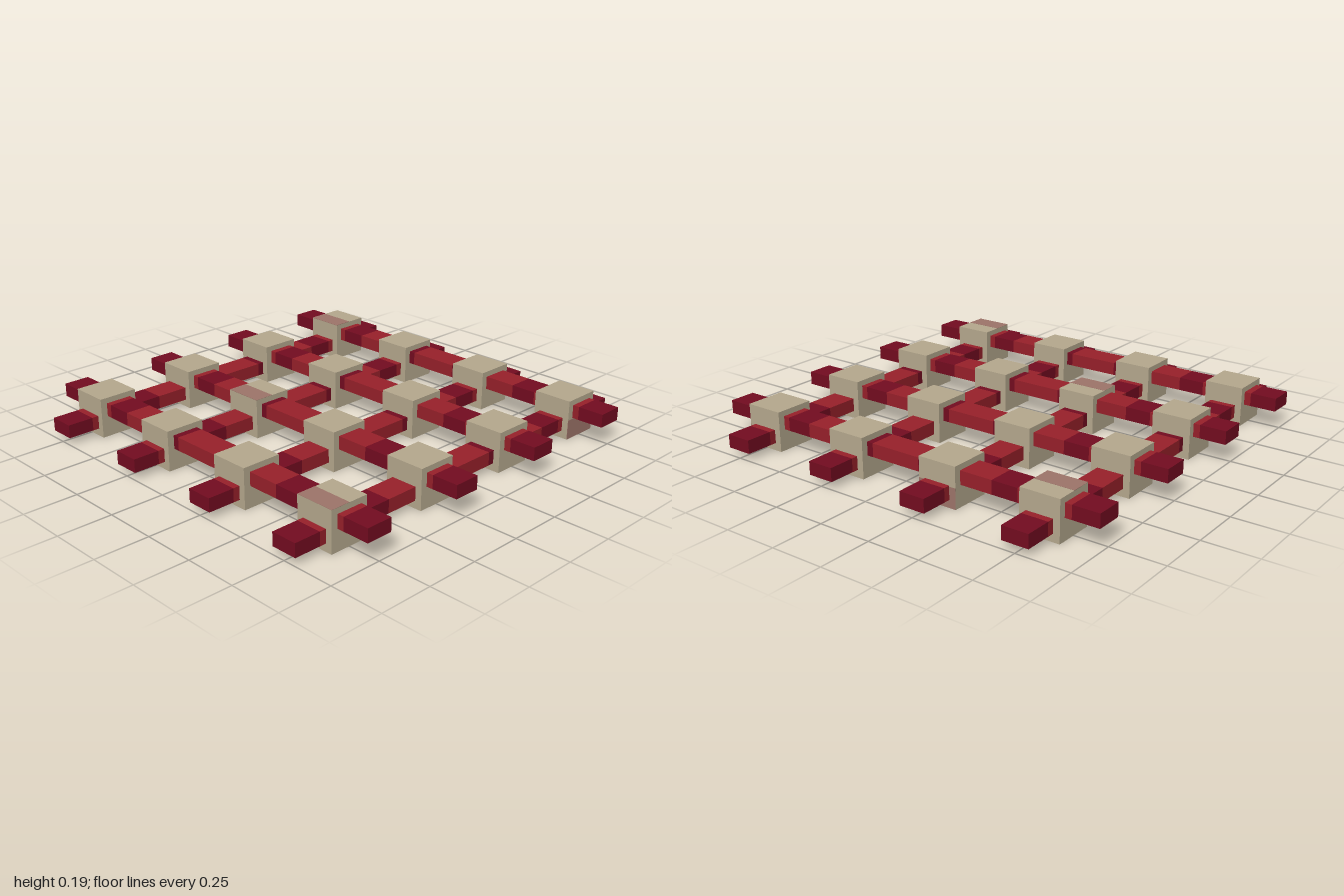
import * as THREE from 'three';

function material(name, color) {
  const m = new THREE.MeshStandardMaterial({ color });
  m.name = name;
  return m;
}

export function createModel() {
  const model = new THREE.Group();
  model.name = 'lattice';
  const tan = material('tan', 0xb6a98e);
  const rose = material('dusty rose', 0x9e756a);
  const red = material('red', 0x98202a);
  const darkRed = material('dark red', 0x740c20);

  const box = (parent, name, mat, size, pos) => {
    const mesh = new THREE.Mesh(new THREE.BoxGeometry(...size), mat);
    mesh.name = name;
    mesh.position.set(...pos);
    parent.add(mesh);
  };

  const lines = [-0.75, -0.25, 0.25, 0.75];
  const cube = 0.1875, barWidth = 0.125, barHeight = 0.0625;
  const mid = cube / 2;

  // A banded bar along x: dark 0.125, then red 0.25, repeating
  const bar = (name) => {
    const group = new THREE.Group();
    group.name = name;
    for (let i = 0; i < 6; i++) {
      const x = -1 + i * 0.375;
      box(group, 'darkBand', darkRed, [0.125, barHeight, barWidth], [x + 0.0625, 0, 0]);
      if (i < 5) box(group, 'redBand', red, [0.25, barHeight, barWidth], [x + 0.25, 0, 0]);
    }
    model.add(group);
    return group;
  };

  // Upper bars run across, lower bars run front to back
  for (const p of lines) {
    bar('crossBar').position.set(0, 0.13, p);
    const long = bar('longBar');
    long.position.set(p, 0.067, 0);
    long.rotation.y = Math.PI / 2;
  }

  // Joint cubes where the bars cross
  for (const x of lines)
    for (const z of lines) box(model, 'jointCube', tan, [cube, cube, cube], [x, mid, z]);

  // Rose patches on half of a cube face
  const thin = 0.002;
  for (const [x, z] of [[-0.75, -0.75], [-0.25, 0.25], [0.75, 0.75]])
    box(model, 'topPatch', rose, [cube, thin, mid], [x, cube, z + mid / 2]);
  box(model, 'sidePatch', rose, [thin, mid, cube], [0.75 + mid, mid / 2, -0.75]);
  box(model, 'backPatch', rose, [cube, mid, thin], [-0.25, mid / 2, -0.75 - mid]);

  return model;
}
